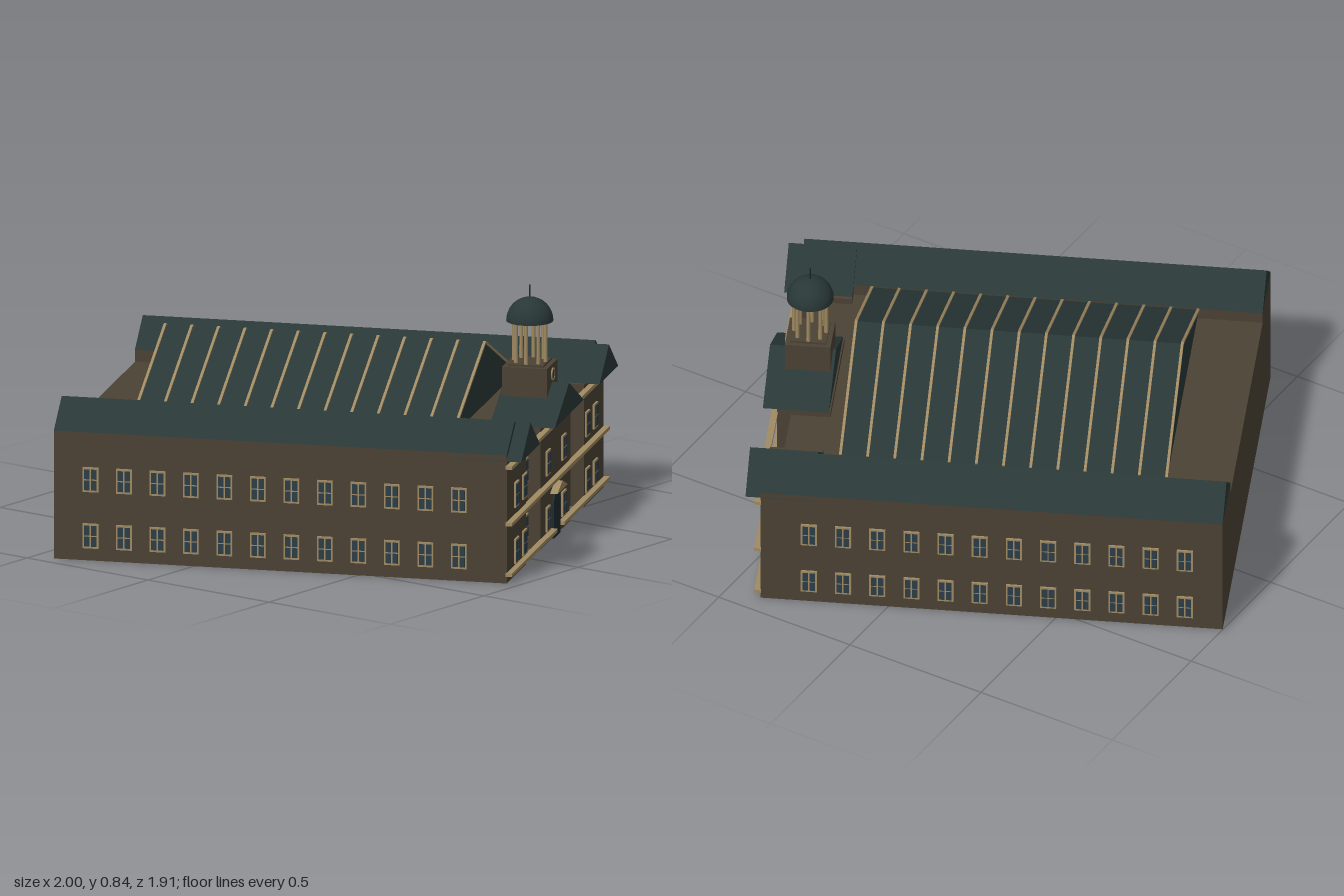
import * as THREE from 'three';

const material = (name, color, side = THREE.FrontSide) => {
  const m = new THREE.MeshStandardMaterial({ color, side });
  m.name = name;
  return m;
};

export function createModel() {
  const wall = material('brown wall', 0x4b4234);
  const roof = material('dark teal roof', 0x293737);
  const trim = material('tan trim', 0xa08a62);
  const glass = material('window glass', 0x2c3d47);
  const doorPaint = material('door', 0x1e2a2c);

  const model = new THREE.Group();
  model.name = 'building';
  // Local frame: +x is the entrance side, wings run along x on both z sides
  const hall = new THREE.Group();
  hall.name = 'hall';
  hall.rotation.y = 0.429;
  model.add(hall);

  const add = (name, geometry, mat, parent = hall) => {
    const mesh = new THREE.Mesh(geometry, mat);
    mesh.name = name;
    parent.add(mesh);
    return mesh;
  };
  // Box given by its limits on each axis
  const block = (name, mat, x0, x1, y0, y1, z0, z1) =>
    add(name, new THREE.BoxGeometry(x1 - x0, y1 - y0, z1 - z0), mat)
      .position.set((x0 + x1) / 2, (y0 + y1) / 2, (z0 + z1) / 2);
  // Triangular prism with its ridge along x
  const gable = (name, mat, x0, x1, y0, y1, z0, z1) => {
    const h = (z1 - z0) / 2;
    const shape = new THREE.Shape([
      new THREE.Vector2(-h, 0), new THREE.Vector2(h, 0), new THREE.Vector2(0, y1 - y0)]);
    const g = new THREE.ExtrudeGeometry(shape, { depth: x1 - x0, bevelEnabled: false });
    g.rotateY(Math.PI / 2);
    g.translate(x0, y0, (z0 + z1) / 2);
    return add(name, g, mat);
  };

  // Low central body and entrance block
  block('centralBody', wall, -0.784, 0.69, 0, 0.39, -0.47, 0.47);
  block('entranceBlock', wall, 0.56, 0.735, 0, 0.41, -0.205, 0.205);
  gable('entranceRoof', roof, 0.565, 0.782, 0.41, 0.515, -0.207, 0.207);

  // Long wings ending in front pavilions
  for (const s of [-1, 1]) {
    const span = (a, b) => (s > 0 ? [a, b] : [-b, -a]);
    block('wing', wall, -0.784, 0.734, 0, 0.43, ...span(0.465, 0.688));
    gable('wingRoof', roof, -0.784, 0.735, 0.43, 0.52, ...span(0.463, 0.69));
    block('pavilion', wall, 0.56, 0.735, 0, 0.41, ...span(0.412, 0.687));
    gable('pavilionRoof', roof, 0.56, 0.784, 0.41, 0.513, ...span(0.425, 0.69));
  }

  // Ribbed roof spanning the court between the wings
  const eave = 0.43, ridge = 0.635, half = 0.458;
  gable('courtRoof', roof, -0.575, 0.5, eave, ridge, -half, half);
  const slope = Math.atan2(ridge - eave, half);
  const ribGeometry = new THREE.BoxGeometry(0.009, 0.008, Math.hypot(half, ridge - eave));
  for (let i = 0; i < 13; i++) {
    for (const s of [-1, 1]) {
      const rib = add('roofRib', ribGeometry, trim);
      rib.position.set(-0.573 + i * 0.0893, (eave + ridge) / 2 + 0.001, s * half / 2);
      rib.rotation.x = s * slope;
    }
  }

  // Windows: tan frame with four panes
  const frameGeometry = new THREE.BoxGeometry(0.053, 0.083, 0.009);
  const paneGeometry = new THREE.BoxGeometry(0.018, 0.033, 0.004);
  const addWindow = (x, y, z, turn) => {
    const win = new THREE.Group();
    win.name = 'window';
    add('windowFrame', frameGeometry, trim, win);
    for (const px of [-1, 1]) for (const py of [-1, 1]) {
      add('windowPane', paneGeometry, glass, win).position.set(px * 0.0115, py * 0.0185, 0.004);
    }
    win.position.set(x, y, z);
    win.rotation.y = turn;
    hall.add(win);
  };
  for (const y of [0.083, 0.272]) {
    for (let i = 0; i < 12; i++) {
      addWindow(-0.66 + i * 0.1123, y, 0.69, 0);
      addWindow(-0.66 + i * 0.1123, y, -0.69, Math.PI);
    }
    for (let i = 1; i <= 5; i++) {
      const z = i * 0.112;
      const x = i === 1 || i > 3 ? 0.737 : 0.692;
      const shift = i === 2 ? 0.018 : 0;
      addWindow(x, y, z + shift, Math.PI / 2);
      addWindow(x, y, -z - shift, Math.PI / 2);
    }
  }

  // Horizontal bands across the entrance side
  for (const y of [0.03, 0.2, 0.39]) {
    for (const s of [-1, 1]) {
      const a = 0.05, b = 0.695;
      const z0 = y < 0.1 ? a : 0;
      block('stringCourse', trim, 0.733, 0.755, y - 0.006, y + 0.006, s > 0 ? z0 : -b, s > 0 ? b : -z0);
    }
  }

  // Arched door with a small pediment
  const arch = new THREE.Shape();
  arch.moveTo(-0.047, 0);
  arch.lineTo(0.047, 0);
  arch.lineTo(0.047, 0.105);
  arch.absarc(0, 0.105, 0.047, 0, Math.PI, false);
  const door = add('door', new THREE.ExtrudeGeometry(arch, { depth: 0.008, bevelEnabled: false, curveSegments: 10 }), doorPaint);
  door.position.set(0.734, 0, 0);
  door.rotation.y = Math.PI / 2;
  gable('doorPediment', trim, 0.733, 0.76, 0.157, 0.186, -0.073, 0.073);

  // Cupola: plinth, clock, columns, dome and spike
  const cx = 0.65;
  block('cupolaPlinth', wall, cx - 0.075, cx + 0.075, 0.4, 0.575, -0.075, 0.075);
  block('cupolaFloor', wall, cx - 0.06, cx + 0.06, 0.575, 0.582, -0.06, 0.06);
  const clock = add('clockFace', new THREE.CylinderGeometry(0.018, 0.018, 0.006, 16), glass);
  clock.position.set(cx + 0.076, 0.542, 0);
  clock.rotation.z = -Math.PI / 2;
  const ring = add('clockRim', new THREE.TorusGeometry(0.019, 0.003, 6, 16), trim);
  ring.position.set(cx + 0.078, 0.542, 0);
  ring.rotation.y = Math.PI / 2;
  const column = new THREE.CylinderGeometry(0.006, 0.007, 0.145, 8);
  for (let i = 0; i < 8; i++) {
    const a = (i / 8) * Math.PI * 2;
    add('cupolaColumn', column, trim)
      .position.set(cx + 0.053 * Math.cos(a), 0.65, 0.053 * Math.sin(a));
  }
  const dome = add('dome', new THREE.LatheGeometry(
    [new THREE.Vector2(0, 0), new THREE.Vector2(0.077, 0)], 24), roof);
  dome.position.set(cx, 0.719, 0);
  dome.rotation.x = 0;
  dome.geometry.dispose();
  dome.geometry = new THREE.SphereGeometry(0.077, 24, 10, 0, Math.PI * 2, 0, Math.PI / 2);
  const domeBase = add('domeBase', new THREE.CylinderGeometry(0.077, 0.077, 0.004, 24), roof);
  domeBase.position.set(cx, 0.719, 0);
  add('spike', new THREE.CylinderGeometry(0.002, 0.003, 0.045, 6), doorPaint).position.set(cx, 0.815, 0);

  return model;
}
